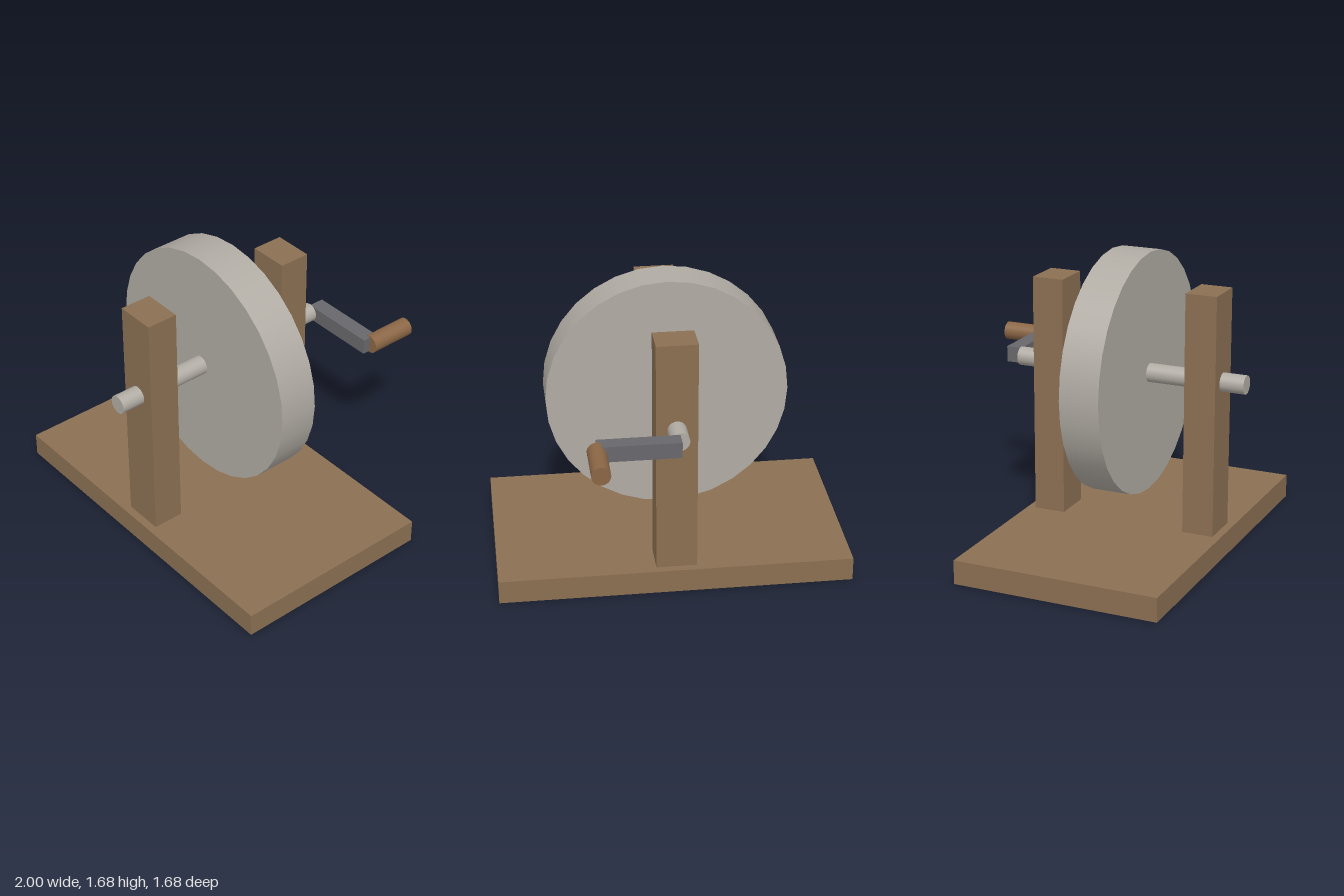
import * as THREE from 'three';

const wood = new THREE.MeshStandardMaterial({ name: 'wood', color: 0x8b6f52 });
const handleWood = new THREE.MeshStandardMaterial({ name: 'handleWood', color: 0x8b6645 });
const stone = new THREE.MeshStandardMaterial({ name: 'stone', color: 0xb0aba3 });
const iron = new THREE.MeshStandardMaterial({ name: 'iron', color: 0x68686c });

const AXLE_Y = 1.0;

export function createModel() {
  const group = new THREE.Group();

  const add = (name, geometry, material) => {
    const mesh = new THREE.Mesh(geometry, material);
    mesh.name = name;
    group.add(mesh);
  };
  // Box given by its extents on each axis
  const box = (name, material, [x0, x1], [y0, y1], [z0, z1]) =>
    add(name, new THREE.BoxGeometry(x1 - x0, y1 - y0, z1 - z0)
      .translate((x0 + x1) / 2, (y0 + y1) / 2, (z0 + z1) / 2), material);
  // Cylinder lying along z at axle height
  const rod = (name, material, radius, x, [z0, z1]) =>
    add(name, new THREE.CylinderGeometry(radius, radius, z1 - z0, 32)
      .rotateX(Math.PI / 2).translate(x, AXLE_Y, (z0 + z1) / 2), material);

  // Wooden stand
  box('base', wood, [-1, 1], [0, 0.137], [-0.432, 0.75]);
  box('frontPost', wood, [-0.115, 0.115], [0.137, 1.502], [0.525, 0.705]);
  box('backPost', wood, [-0.115, 0.115], [0.137, 1.502], [-0.386, -0.205]);

  // Grindstone on its axle
  rod('grindstone', stone, 0.682, 0, [0.046, 0.273]);
  rod('axle', stone, 0.053, 0, [-0.523, 0.842]);

  // Crank behind the back post
  box('crankArm', iron, [0, 0.452], [AXLE_Y - 0.045, AXLE_Y + 0.045], [-0.614, -0.523]);
  rod('crankHandle', handleWood, 0.052, 0.452, [-0.842, -0.568]);

  return group;
}
